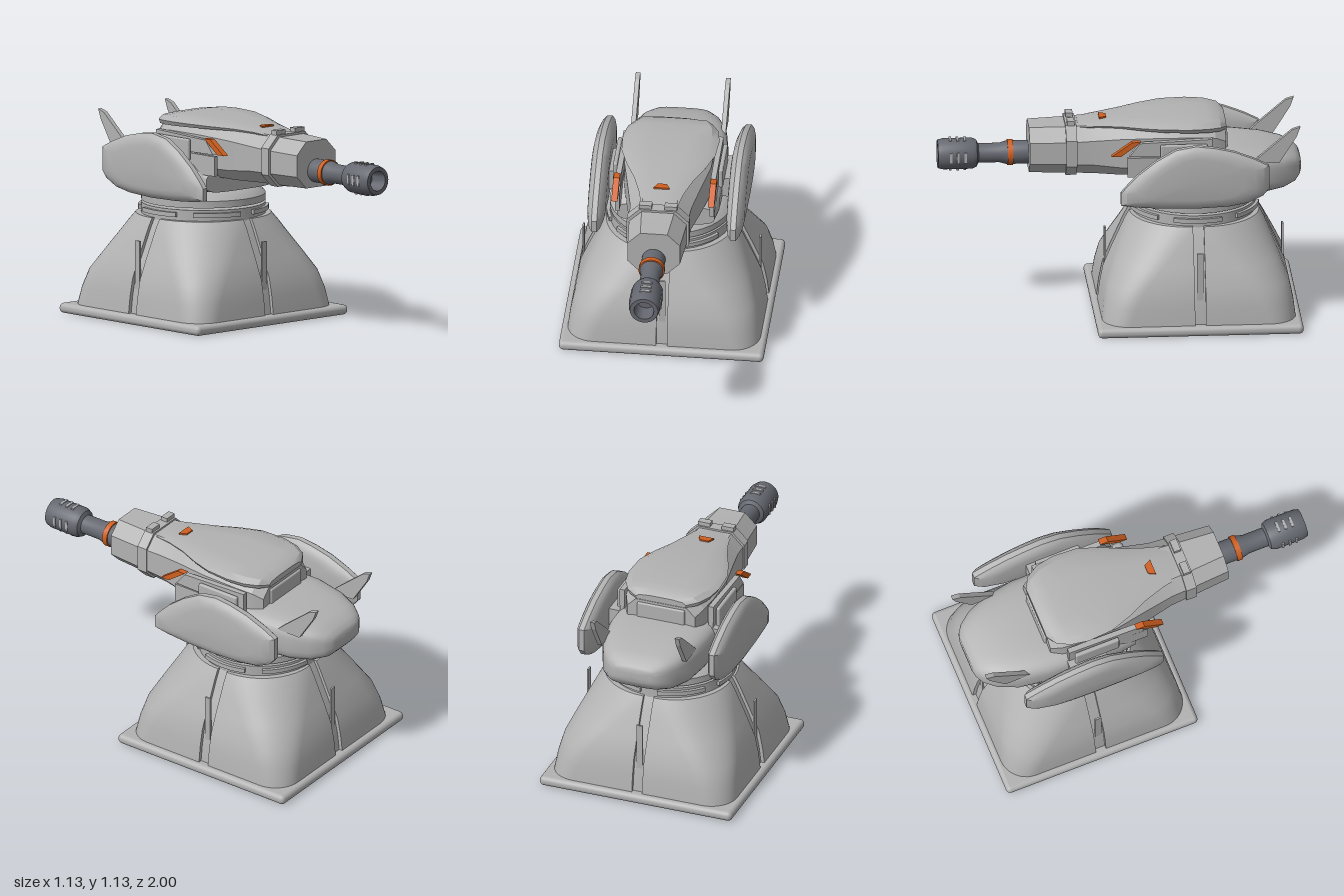
import * as THREE from 'three';
import { toCreasedNormals } from 'three/addons/utils/BufferGeometryUtils.js';
import { RoundedBoxGeometry } from 'three/addons/geometries/RoundedBoxGeometry.js';

const CZ = -0.415; // z of the pedestal axis

// Skin over rings (arrays of [x, y], counter-clockwise) placed at falling z, capped at both ends
function loft(sections, crease = 0.6) {
  const pos = [], idx = [], n = sections[0].ring.length;
  for (const { z, ring } of sections) for (const [x, y] of ring) pos.push(x, y, z);
  for (let s = 0; s < sections.length - 1; s++) {
    for (let i = 0; i < n; i++) {
      const a = s * n + i, a2 = s * n + (i + 1) % n;
      idx.push(a, a + n, a2, a2, a + n, a2 + n);
    }
  }
  for (const s of [0, sections.length - 1]) {
    const { z, ring } = sections[s];
    const c = pos.length / 3;
    pos.push(ring.reduce((t, p) => t + p[0], 0) / n, ring.reduce((t, p) => t + p[1], 0) / n, z);
    for (let i = 0; i < n; i++) {
      const a = s * n + i, b = s * n + (i + 1) % n;
      idx.push(c, s ? b : a, s ? a : b);
    }
  }
  const g = new THREE.BufferGeometry();
  g.setAttribute('position', new THREE.Float32BufferAttribute(pos, 3));
  g.setIndex(idx);
  return toCreasedNormals(g, crease);
}

// Chamfered rectangle
const octagon = (w, y0, y1, c) => [
  [w, y0 + c], [w, y1 - c], [w - c, y1], [c - w, y1],
  [-w, y1 - c], [-w, y0 + c], [c - w, y0], [w - c, y0]];

// Soft rectangle
function softRect(w, y0, y1, n = 32) {
  const f = (v) => Math.sign(v) * Math.abs(v) ** 0.5;
  return Array.from({ length: n }, (_, i) => {
    const a = (i + 0.5) / n * Math.PI * 2;
    return [w * f(Math.cos(a)), (y0 + y1) / 2 + (y1 - y0) / 2 * f(Math.sin(a))];
  });
}

// Rounded square with a narrow groove in the middle of each side
function groovedSquare(w, r) {
  const g = 0.03, quad = [[w - 0.02, g], [w, g]], ring = [];
  for (let i = 0; i <= 10; i++) {
    const a = i / 10 * Math.PI / 2;
    quad.push([w - r + r * Math.cos(a), w - r + r * Math.sin(a)]);
  }
  quad.push([g, w], [g, w - 0.02]);
  for (let q = 0; q < 4; q++) {
    const c = Math.round(Math.cos(q * Math.PI / 2)), s = Math.round(Math.sin(q * Math.PI / 2));
    for (const [x, y] of quad) ring.push([x * c - y * s, x * s + y * c]);
  }
  return ring;
}

const lathe = (points, n = 40) =>
  toCreasedNormals(new THREE.LatheGeometry(points.map((p) => new THREE.Vector2(...p)), n), 0.6);

// Flat side profile of [z, y] points, extruded along x and centred on x = 0
function sidePlate(points, thickness) {
  const shape = new THREE.Shape(points.map(([z, y]) => new THREE.Vector2(-z, y)));
  return new THREE.ExtrudeGeometry(shape, { depth: thickness, bevelEnabled: false })
    .translate(0, 0, -thickness / 2).rotateY(Math.PI / 2);
}

export function createModel() {
  const model = new THREE.Group();
  const material = (name, color) => {
    const m = new THREE.MeshStandardMaterial({ color });
    m.name = name;
    return m;
  };
  const grey = material('light grey', 0xb2b2b2);
  const dark = material('gunmetal', 0x656870);
  const orange = material('orange', 0xd06020);
  const add = (name, geometry, mat, x = 0, y = 0, z = 0) => {
    const m = new THREE.Mesh(geometry, mat);
    m.name = name;
    m.position.set(x, y, z);
    model.add(m);
    return m;
  };
  const box = (name, w, h, d, mat, x, y, z) => add(name, new THREE.BoxGeometry(w, h, d), mat, x, y, z);

  // Pedestal: foot slab, rounded-square skirt blending to a circle
  add('footSlab', new RoundedBoxGeometry(1.135, 0.055, 1.135, 3, 0.025), grey, 0, 0.0275, CZ);
  const skirt = [[0.57, 0.358, 0.32], [0.52, 0.385, 0.31], [0.46, 0.412, 0.29], [0.36, 0.457, 0.25],
    [0.25, 0.503, 0.2], [0.15, 0.523, 0.17], [0.05, 0.535, 0.15]];
  add('skirt', loft(skirt.map(([z, w, r]) => ({ z, ring: groovedSquare(w, r) }))).rotateX(-Math.PI / 2), grey, 0, 0, CZ);

  // Stand-off strips in front of the grooves
  for (let i = 0; i < 4; i++) {
    const a = i * Math.PI / 2;
    box('skirtStrip', 0.036, 0.3, 0.01, grey, Math.sin(a) * 0.49, 0.31, CZ + Math.cos(a) * 0.49).rotation.y = a;
  }

  // Collar with six raised arcs, then the turning ring above a small gap
  add('collar', lathe([[0, 0.56], [0.343, 0.56], [0.343, 0.63], [0, 0.63]]), grey, 0, 0, CZ);
  for (let i = 0; i < 6; i++) {
    const mid = i * Math.PI / 3, half = 0.385, s = new THREE.Shape();
    s.absarc(0, 0, 0.36, mid - half, mid + half, false);
    s.absarc(0, 0, 0.33, mid + half, mid - half, true);
    add('collarArc', new THREE.ExtrudeGeometry(s, { depth: 0.025, bevelEnabled: false, curveSegments: 8 })
      .rotateX(-Math.PI / 2), grey, 0, 0.59, CZ);
  }
  add('turningRing', lathe([[0, 0.642], [0.343, 0.642], [0.343, 0.68], [0.325, 0.7], [0.3, 0.717], [0.265, 0.732], [0, 0.732]]),
    grey, 0, 0, CZ);

  // Rear pod and turret deck
  const pod = [[-0.1, 0.27, 0.73, 0.85], [-0.2, 0.29, 0.72, 0.92], [-0.4, 0.295, 0.71, 0.95], [-0.62, 0.292, 0.7, 0.96],
    [-0.79, 0.265, 0.7, 0.945], [-0.9, 0.22, 0.715, 0.925], [-0.965, 0.17, 0.74, 0.9], [-0.992, 0.13, 0.77, 0.875],
    [-1, 0.1, 0.79, 0.86]];
  add('rearPod', loft(pod.map(([z, w, a, b]) => ({ z, ring: softRect(w, a, b) })), 0.7), grey);
  box('podSlot', 0.2, 0.04, 0.02, grey, 0, 0.825, -0.99);

  // Head tapering forward to the octagonal nose
  const head = [[0.5, 0.145, 0.815, 1.075, 0.07], [0.27, 0.162, 0.812, 1.08, 0.07], [0.15, 0.17, 0.81, 1.088, 0.07],
    [0, 0.2, 0.81, 1.095, 0.06], [-0.2, 0.24, 0.82, 1.1, 0.05], [-0.42, 0.245, 0.83, 1.1, 0.05],
    [-0.52, 0.23, 0.84, 1.09, 0.05], [-0.58, 0.2, 0.86, 1.06, 0.05]];
  add('head', loft(head.map(([z, ...o]) => ({ z, ring: octagon(...o) })), 0.4), grey);
  add('noseBand', loft([0.3, 0.24].map((z) => ({ z, ring: octagon(0.172, 0.803, 1.092, 0.07) })), 0.4), grey);
  for (const x of [-0.07, 0.07]) box('bandClip', 0.07, 0.03, 0.04, grey, x, 1.1, 0.27);
  add('rearPanel', new RoundedBoxGeometry(0.28, 0.15, 0.02, 2, 0.009), grey, 0, 0.97, -0.582);

  // Crowned roof shell overhanging the head
  const roof = [[0.23, 0.1, 1.07, 1.085], [0.12, 0.125, 1.08, 1.1], [0, 0.165, 1.085, 1.112], [-0.12, 0.22, 1.085, 1.122],
    [-0.24, 0.26, 1.085, 1.13], [-0.38, 0.268, 1.08, 1.132], [-0.48, 0.25, 1.075, 1.13], [-0.55, 0.21, 1.07, 1.122],
    [-0.585, 0.15, 1.065, 1.1]];
  add('roofShell', loft(roof.map(([z, w, a, b]) => {
    const e = a + (b - a) * 0.45;
    return { z, ring: [[w * 0.95, a], [w, e], [w * 0.85, b - 0.006], [w * 0.4, b], [-w * 0.4, b],
      [-w * 0.85, b - 0.006], [-w, e], [-w * 0.95, a]] };
  }), 0.5), grey);

  // Orange wedge marks above and below the nose
  const wedge = new THREE.Shape([[-0.045, 0], [0.045, 0], [0.025, 0.04], [-0.025, 0.04]].map((p) => new THREE.Vector2(...p)));
  const wedgeGeometry = new THREE.ExtrudeGeometry(wedge, { depth: 0.009, bevelEnabled: false }).rotateX(-Math.PI / 2);
  add('topMark', wedgeGeometry, orange, 0, 1.104, 0.11);
  add('bottomMark', wedgeGeometry, orange, 0, 0.803, 0.11);

  // Shield outline as [-z, y], pinched towards both faces
  const outline = [[-0.015, 0.72], [0.06, 0.708], [0.2, 0.697], [0.4, 0.692], [0.58, 0.7], [0.69, 0.72], [0.77, 0.76],
    [0.803, 0.8], [0.803, 0.93], [0.72, 0.972], [0.61, 1.015], [0.5, 1.04], [0.4, 1.052], [0.29, 1.033], [0.18, 0.97],
    [0.08, 0.892], [0.02, 0.83], [-0.015, 0.79]];
  const layers = [[0.05, 0.66], [0.045, 0.8], [0.032, 0.93], [0.015, 1], [-0.015, 1], [-0.032, 0.93], [-0.045, 0.8], [-0.05, 0.66]];
  const shield = loft(layers.map(([z, s]) => ({
    z, ring: outline.map(([x, y]) => [0.42 + (x - 0.42) * s, 0.86 + (y - 0.86) * s]),
  })), 0.5).rotateY(Math.PI / 2);

  for (const side of [-1, 1]) {
    add('sideShield', shield, grey, side * 0.385);
    box('shieldMount', 0.1, 0.12, 0.22, grey, side * 0.31, 0.86, -0.4);
    // Rails along the head, tipped with an orange bar
    add('sideRail', sidePlate([[-0.04, 0.96], [-0.1, 1.035], [-0.5, 1.05], [-0.5, 0.95]], 0.03), grey, side * 0.262);
    add('lowerRail', sidePlate([[-0.03, 0.84], [-0.03, 0.95], [-0.5, 0.95], [-0.5, 0.83]], 0.025), grey, side * 0.262);
    add('railPad', new RoundedBoxGeometry(0.025, 0.12, 0.26, 2, 0.01), grey, side * 0.292, 0.97, -0.34);
    add('railBar', sidePlate([[0.058, 0.965], [-0.055, 1.045], [-0.103, 1.045], [0.005, 0.965]], 0.034), orange, side * 0.268);
    // Swept tail fins
    add('tailFin', sidePlate([[-0.72, 0.9], [-0.775, 0.95], [-0.94, 1.09], [-0.985, 1.104], [-0.965, 1.05], [-0.87, 0.9]], 0.026),
      grey, side * 0.25);
  }

  // Barrel and hollow muzzle along z
  const barrel = [[0, 0.48], [0.065, 0.48], [0.065, 0.62], [0.054, 0.66], [0.054, 0.775], [0.075, 0.785], [0.086, 0.81],
    [0.086, 0.97], [0.078, 1], [0.055, 1], [0.05, 0.9], [0, 0.9]];
  add('barrel', lathe(barrel, 32).rotateX(Math.PI / 2), dark, 0, 0.908);
  add('barrelRing', lathe([[0.06, 0.585], [0.072, 0.585], [0.072, 0.615], [0.06, 0.615]], 32).rotateX(Math.PI / 2), orange, 0, 0.908);
  for (let q = 0; q < 4; q++) {
    const a = q * Math.PI / 2;
    for (const z of [0.85, 0.89, 0.93]) {
      box('muzzleVent', 0.06, 0.009, 0.013, grey, Math.sin(a) * 0.084, 0.908 + Math.cos(a) * 0.084, z).rotation.z = -a;
    }
  }
  return model;
}
